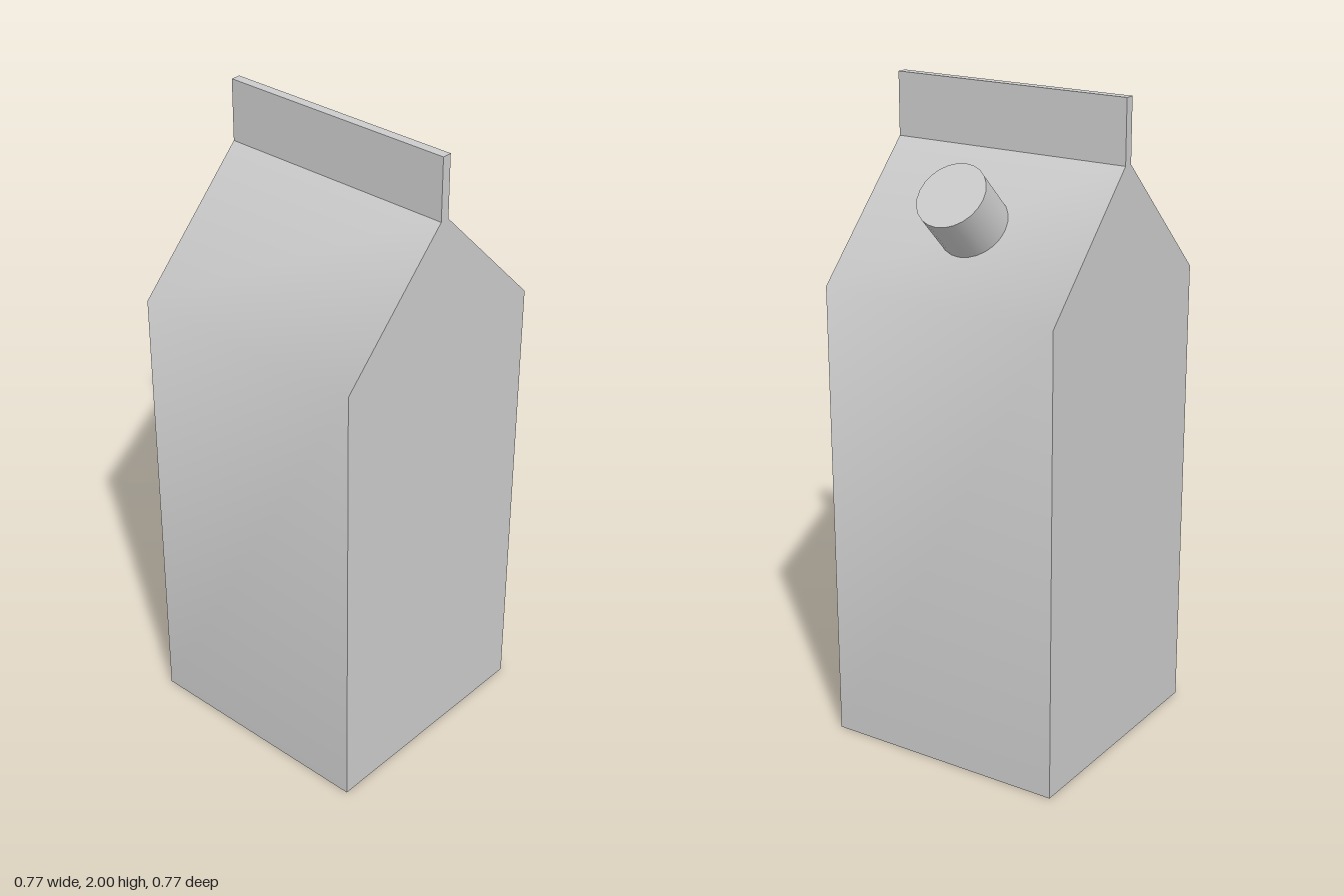
import * as THREE from 'three';
import { toCreasedNormals } from 'three/addons/utils/BufferGeometryUtils.js';

const HALF = 0.385;    // half width and depth of the carton
const EAVE = 1.435;    // top of the straight walls
const SEAM = 1.81;     // bottom of the sealed top fin
const FIN = 0.03;      // fin thickness

export function createModel() {
  const group = new THREE.Group();
  const material = new THREE.MeshStandardMaterial({ color: 0xcccccc });

  const add = (name, geometry) => {
    const mesh = new THREE.Mesh(geometry, material);
    mesh.name = name;
    group.add(mesh);
    return mesh;
  };

  // Carton body: gabled side profile extruded across the width,
  // soft at the eaves, sharp at the other edges
  const profile = new THREE.Shape([
    [-HALF, 0], [HALF, 0], [HALF, EAVE], [0, SEAM + FIN / 2], [-HALF, EAVE],
  ].map(([z, y]) => new THREE.Vector2(z, y)));
  const body = new THREE.ExtrudeGeometry(profile, { depth: 2 * HALF, bevelEnabled: false });
  body.translate(0, 0, -HALF).rotateY(-Math.PI / 2);
  add('cartonBody', toCreasedNormals(body, THREE.MathUtils.degToRad(50)));

  // Sealed fin along the ridge
  const fin = add('topFin', new THREE.BoxGeometry(2 * HALF, 2 - SEAM, FIN));
  fin.position.y = (2 + SEAM) / 2;

  // Screw cap standing square on the back roof slope
  const cap = add('cap', new THREE.CylinderGeometry(0.106, 0.106, 0.154, 24));
  cap.rotation.x = -Math.PI / 4;
  cap.position.set(0, 1.682, -0.249);

  return group;
}
